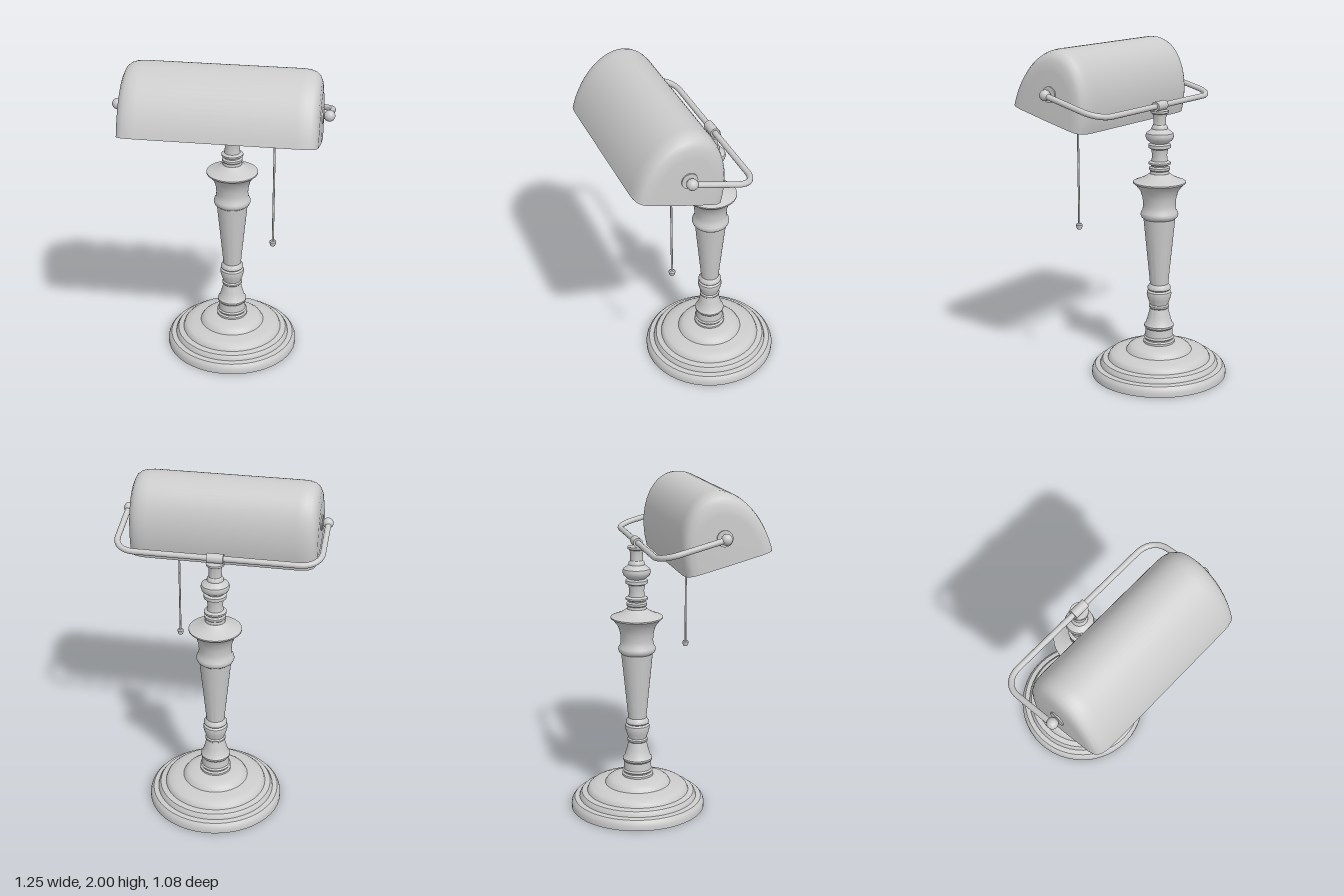
import * as THREE from 'three';
import { toCreasedNormals } from 'three/addons/utils/BufferGeometryUtils.js';

const COLUMN_Z = -0.13, PIVOT_Y = 1.75, PIVOT_Z = 0.245, BAR_Y = 1.65;
const material = new THREE.MeshStandardMaterial({ color: 0xcccccc });
const thin = new THREE.MeshStandardMaterial({ color: 0xcccccc, side: THREE.DoubleSide });

function add(parent, name, geometry, x = 0, y = 0, z = 0, mat = material) {
  const mesh = new THREE.Mesh(geometry, mat);
  mesh.name = name;
  mesh.position.set(x, y, z);
  parent.add(mesh);
  return mesh;
}

// Turned solid from [radius, height] pairs, bottom to top
function turned(points, segments = 48) {
  const g = new THREE.LatheGeometry(points.map(([r, y]) => new THREE.Vector2(r, y)), segments);
  return toCreasedNormals(g, 0.6);
}

// Half-elliptical hood with softly rounded, closed ends and an open underside
function hoodGeometry(halfDepth, height) {
  const end = [[0.556, 0], [0.553, 0.7], [0.546, 0.84], [0.532, 0.92], [0.51, 0.965], [0.48, 0.99], [0.44, 1]];
  const rows = [...end, ...end.map(([x, s]) => [-x, s]).reverse()];
  const steps = 40, positions = [], index = [];
  rows.forEach(([x, s], i) => {
    for (let j = 0; j <= steps; j++) {
      const t = Math.PI * j / steps;
      positions.push(x, s * height * Math.sin(t), s * halfDepth * Math.cos(t));
      if (i < rows.length - 1 && j < steps) {
        const a = i * (steps + 1) + j, b = a + steps + 1;
        index.push(a, a + 1, b, a + 1, b + 1, b);
      }
    }
  });
  const g = new THREE.BufferGeometry();
  g.setAttribute('position', new THREE.Float32BufferAttribute(positions, 3));
  g.setIndex(index);
  g.computeVertexNormals();
  return g;
}

export function createModel() {
  const lamp = new THREE.Group();
  lamp.name = 'deskLamp';

  // Stepped round foot
  add(lamp, 'base', turned([
    [0, 0], [0.41, 0], [0.41, 0.025], [0.403, 0.045], [0.39, 0.06], [0.36, 0.065],
    [0.356, 0.08], [0.345, 0.095], [0.312, 0.102], [0.305, 0.12], [0.29, 0.133],
    [0.25, 0.142], [0.2, 0.15], [0.188, 0.17], [0.17, 0.183], [0.14, 0.19], [0.1, 0.198], [0, 0.2],
  ]), 0, 0, COLUMN_Z);

  // Lower turned stem
  add(lamp, 'lowerColumn', turned([
    [0.095, 0.195], [0.095, 0.21], [0.085, 0.218], [0.085, 0.225], [0.093, 0.232], [0.085, 0.242],
    [0.082, 0.29], [0.09, 0.3], [0.09, 0.31], [0.08, 0.322], [0.066, 0.37], [0.055, 0.415],
    [0.062, 0.422], [0.062, 0.432], [0.055, 0.44], [0.066, 0.47], [0.075, 0.505], [0.073, 0.52],
    [0.063, 0.53], [0.07, 0.538], [0.07, 0.548], [0.062, 0.56], [0.055, 0.57],
  ]), 0, 0, COLUMN_Z);

  // Tapered shaft ending in a wide flared collar
  add(lamp, 'shaft', turned([
    [0.055, 0.565], [0.06, 0.62], [0.095, 0.975], [0.107, 0.985], [0.113, 1.0], [0.11, 1.015],
    [0.1, 1.03], [0.097, 1.06], [0.1, 1.1], [0.113, 1.145], [0.14, 1.18], [0.156, 1.192],
    [0.156, 1.2], [0.12, 1.214], [0.085, 1.23], [0.06, 1.25], [0, 1.25],
  ]), 0, 0, COLUMN_Z);

  // Upper turned neck
  add(lamp, 'neck', turned([
    [0.06, 1.24], [0.055, 1.265], [0.062, 1.272], [0.062, 1.285], [0.05, 1.292], [0.052, 1.3],
    [0.066, 1.306], [0.066, 1.316], [0.048, 1.325], [0.044, 1.36], [0.05, 1.395], [0.066, 1.403],
    [0.066, 1.422], [0.05, 1.43], [0.06, 1.438], [0.078, 1.453], [0.084, 1.473], [0.08, 1.49],
    [0.06, 1.505], [0.048, 1.515], [0.046, 1.53], [0.038, 1.54], [0.037, 1.58], [0.042, 1.603],
    [0.053, 1.61], [0.053, 1.622], [0, 1.622],
  ]), 0, 0, COLUMN_Z);

  // Sleeve gripping the crossbar
  add(lamp, 'sleeve', new THREE.CylinderGeometry(0.028, 0.028, 0.096, 32), 0, BAR_Y, COLUMN_Z).rotation.z = Math.PI / 2;

  // Bent yoke: two arms and a crossbar with rounded corners
  const v = (x, t) => new THREE.Vector3(x, BAR_Y + (PIVOT_Y - BAR_Y) * t, COLUMN_Z + (PIVOT_Z - COLUMN_Z) * t);
  const yoke = new THREE.CurvePath();
  const X = 0.595, C = 0.47, T = 0.31;
  yoke.add(new THREE.LineCurve3(v(-X, 1), v(-X, T)));
  yoke.add(new THREE.CubicBezierCurve3(v(-X, T), v(-X, T * 0.4), v(-0.545, 0), v(-C, 0)));
  yoke.add(new THREE.LineCurve3(v(-C, 0), v(C, 0)));
  yoke.add(new THREE.CubicBezierCurve3(v(C, 0), v(0.545, 0), v(X, T * 0.4), v(X, T)));
  yoke.add(new THREE.LineCurve3(v(X, T), v(X, 1)));
  add(lamp, 'yoke', new THREE.TubeGeometry(yoke, 140, 0.017, 16));

  // Pivot on each end of the hood
  for (const side of [-1, 1]) {
    add(lamp, 'pivotBall', new THREE.SphereGeometry(0.032, 24, 16), side * 0.592, PIVOT_Y, PIVOT_Z);
    add(lamp, 'pivotWasher', new THREE.CylinderGeometry(0.046, 0.046, 0.02, 32), side * 0.552, PIVOT_Y, PIVOT_Z).rotation.z = Math.PI / 2;
    add(lamp, 'pivotPin', new THREE.CylinderGeometry(0.018, 0.018, 0.05, 20), side * 0.57, PIVOT_Y, PIVOT_Z).rotation.z = Math.PI / 2;
  }

  // Tilted hood
  add(lamp, 'shade', hoodGeometry(0.2615, 0.405), 0, 1.602, 0.2875, thin).rotation.x = -THREE.MathUtils.degToRad(15);

  // Bulb and socket lying along the hood
  add(lamp, 'bulb', turned([
    [0, -0.24], [0.06, -0.235], [0.085, -0.22], [0.097, -0.19], [0.1, -0.16], [0.1, 0.07],
    [0.09, 0.1], [0.065, 0.12], [0.045, 0.14], [0, 0.14],
  ], 32), 0, PIVOT_Y, PIVOT_Z).rotation.z = -Math.PI / 2;
  add(lamp, 'socket', new THREE.CylinderGeometry(0.055, 0.055, 0.43, 32), 0.335, PIVOT_Y, PIVOT_Z).rotation.z = Math.PI / 2;

  // Pull chain
  add(lamp, 'chainCap', turned([[0, 1.635], [0.015, 1.637], [0.02, 1.65], [0.03, 1.655], [0.03, 1.67], [0.015, 1.675], [0.015, 1.71]], 20), 0.295, 0, PIVOT_Z);
  add(lamp, 'chain', new THREE.CylinderGeometry(0.006, 0.006, 0.7, 12), 0.295, 1.295, PIVOT_Z);
  add(lamp, 'chainBob', turned([[0, 0.915], [0.014, 0.917], [0.018, 0.93], [0.02, 0.943], [0.014, 0.95], [0, 0.953]], 20), 0.295, 0, PIVOT_Z);

  return lamp;
}
